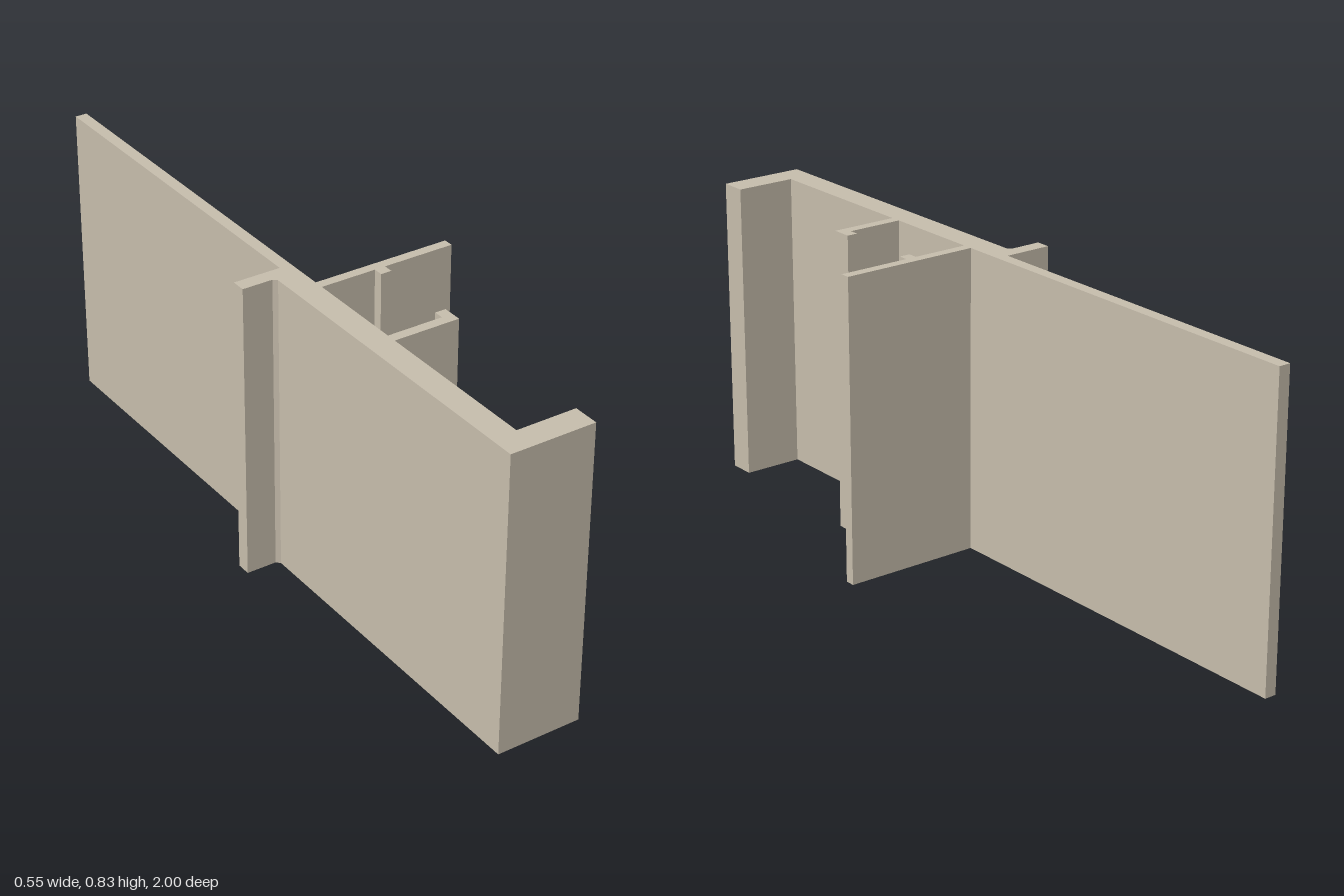
import * as THREE from 'three';

const HEIGHT = 0.833;

export function createModel() {
  const group = new THREE.Group();
  group.name = 'extrudedProfile';
  const beige = new THREE.MeshStandardMaterial({ color: 0xc4bbaa });
  beige.name = 'beige';

  // Plan outline as [x, z] corners
  const outline = [
    // thin rear web, right side
    [-0.143, -1], [-0.11, -1],
    // long flange with a small rib
    [-0.11, 0.124], [0.275, 0.124], [0.275, 0.151],
    [0.075, 0.151], [0.075, 0.178], [0.045, 0.178], [0.045, 0.151], [-0.11, 0.151],
    // short flange with a hooked tip
    [-0.11, 0.43], [0.045, 0.43], [0.045, 0.403], [0.075, 0.403], [0.075, 0.458], [-0.11, 0.458],
    // front foot
    [-0.11, 0.928], [0.057, 0.928], [0.057, 1], [-0.18, 1],
    // outer flange with a bevelled inner corner
    [-0.18, 0.065], [-0.19, 0.055], [-0.275, 0.055], [-0.275, 0.015], [-0.143, 0.015],
  ];

  // Extrude the plan upwards
  const shape = new THREE.Shape(outline.map(([x, z]) => new THREE.Vector2(x, -z)));
  const geometry = new THREE.ExtrudeGeometry(shape, { depth: HEIGHT, bevelEnabled: false });
  geometry.rotateX(-Math.PI / 2);

  const profile = new THREE.Mesh(geometry, beige);
  profile.name = 'profile';
  group.add(profile);
  return group;
}
